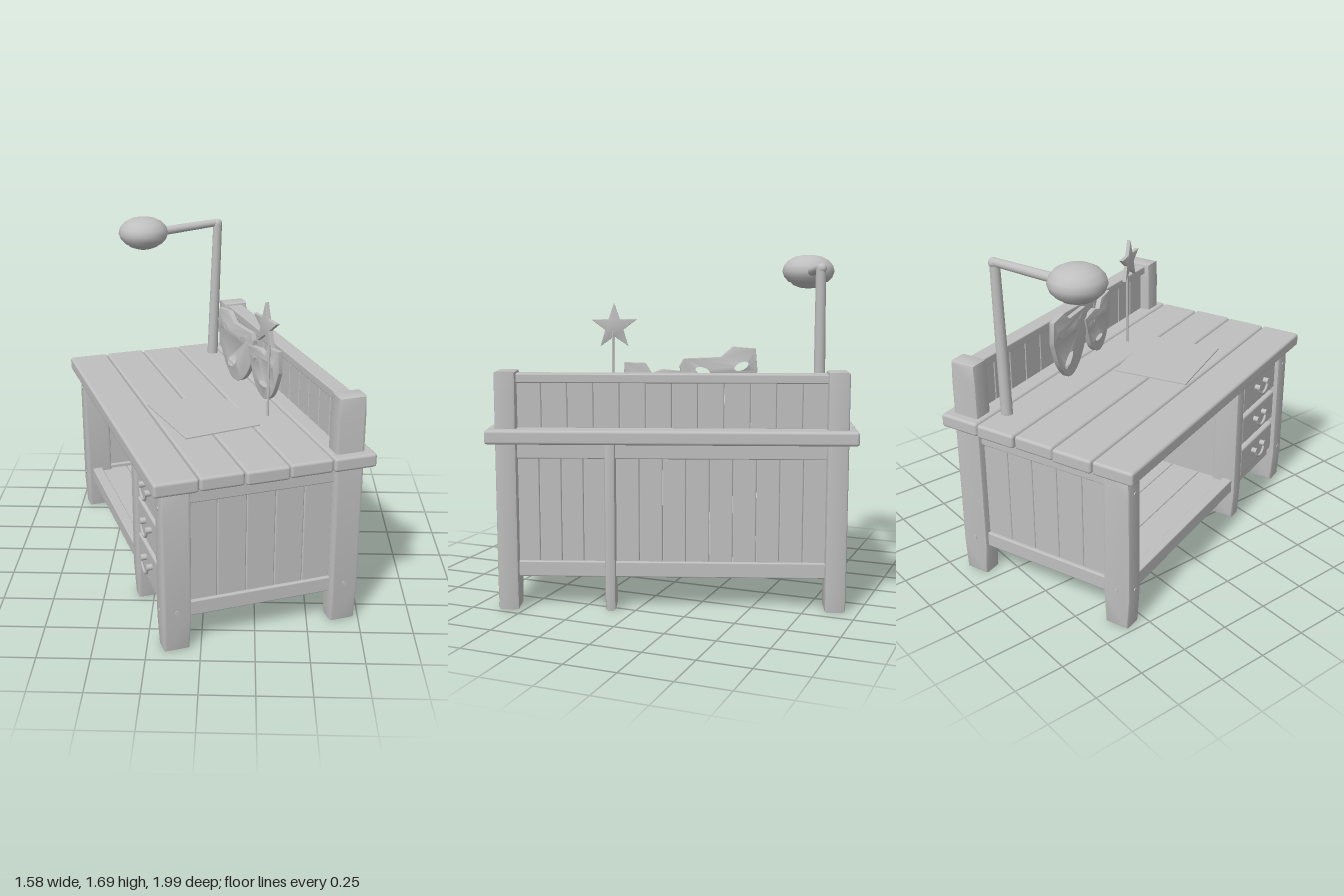
import * as THREE from 'three';
import { RoundedBoxGeometry } from 'three/addons/geometries/RoundedBoxGeometry.js';
import { toCreasedNormals } from 'three/addons/utils/BufferGeometryUtils.js';

const grey = new THREE.MeshStandardMaterial({ color: 0xbfbfbf });
grey.name = 'plain grey';

function add(parent, name, geometry, x = 0, y = 0, z = 0) {
  const mesh = new THREE.Mesh(geometry, grey);
  mesh.name = name;
  mesh.position.set(x, y, z);
  parent.add(mesh);
  return mesh;
}

// Softened board given by its limits on each axis
function board(parent, name, [x0, x1], [y0, y1], [z0, z1], r = 0.006) {
  return add(parent, name, new RoundedBoxGeometry(x1 - x0, y1 - y0, z1 - z0, 2, r),
    (x0 + x1) / 2, (y0 + y1) / 2, (z0 + z1) / 2);
}

// Extruded outline with a small bevel, centred on its thickness
function plate(shape, depth, bevel) {
  const g = new THREE.ExtrudeGeometry(shape, {
    depth: depth - 2 * bevel, bevelEnabled: bevel > 0, bevelSize: bevel,
    bevelThickness: bevel, bevelOffset: -bevel, bevelSegments: 2, curveSegments: 10,
  });
  g.translate(0, 0, -depth / 2 + bevel);
  return toCreasedNormals(g, 0.6);
}

const outline = (pts) => new THREE.Shape(pts.map(([x, y]) => new THREE.Vector2(x, y)));

// Straight round bar between two points
function rod(parent, name, a, b, r0, r1 = r0) {
  const from = new THREE.Vector3(...a), dir = new THREE.Vector3(...b).sub(from);
  const mesh = add(parent, name, new THREE.CylinderGeometry(r1, r0, dir.length(), 16));
  mesh.position.copy(from).addScaledVector(dir, 0.5);
  mesh.quaternion.setFromUnitVectors(new THREE.Vector3(0, 1, 0), dir.normalize());
  return mesh;
}

// Leg with a tapered foot and slightly narrowed head
function leg(parent, name, x, z, w, d, h) {
  const a = w / 2, t = a - 0.01;
  const s = outline([[-t, 0], [t, 0], [a, 0.16], [a, h - 0.1], [a - 0.004, h], [0.004 - a, h], [-a, h - 0.1], [-a, 0.16]]);
  add(parent, name, plate(s, d, 0.012), x, 0, z);
}

function buildDesk() {
  const desk = new THREE.Group();
  desk.name = 'desk';

  // Table top: five long planks with slightly uneven ends
  [0, -0.004, 0.004, -0.004, 0].forEach((shift, i) => {
    const x = -0.53 + i * 0.212;
    board(desk, 'topPlank', [x + 0.002, x + 0.21], [0.812, 0.88], [-0.873 + shift, 0.873 + shift], 0.014);
  });

  // Corner legs; the rear pair runs up past the top as posts
  for (const z of [-0.78, 0.78]) {
    leg(desk, 'frontLeg', -0.415, z, 0.14, 0.1, 0.815);
    leg(desk, 'rearPost', 0.415, z, 0.14, 0.1, 1.15);
  }
  leg(desk, 'middleFrontLeg', -0.405, 0.3, 0.135, 0.08, 0.815);
  leg(desk, 'middleRearLeg', 0.425, 0.29, 0.13, 0.05, 0.815);

  // Wooden pegs on the end and front faces of the corner legs
  for (const x of [-0.415, 0.415]) for (const s of [-1, 1]) {
    rod(desk, 'peg', [x, 0.2, s * 0.82], [x, 0.2, s * 0.834], 0.011);
    const side = Math.sign(x);
    for (const y of [0.2, 0.72]) {
      if (x < 0) rod(desk, 'peg', [side * 0.47, y, s * 0.78], [side * 0.489, y, s * 0.78], 0.009);
    }
  }

  // End walls: two rails and five upright boards
  for (const s of [-1, 1]) {
    const span = (a, b) => (s > 0 ? [a, b] : [-b, -a]);
    for (const y of [[0.16, 0.235], [0.735, 0.812]])
      board(desk, 'endRail', [-0.36, 0.36], y, span(0.75, 0.81));
    for (let i = 0; i < 5; i++)
      board(desk, 'endPlank', [-0.35 + i * 0.14, -0.211 + i * 0.14], [0.2, 0.78], span(0.768, 0.793));
  }

  // Rear wall
  for (const y of [[0.16, 0.235], [0.735, 0.812]])
    board(desk, 'rearRail', [0.4, 0.455], y, [-0.74, 0.74]);
  const bays = [[-0.735, 0.265, 9], [0.315, 0.735, 4]];
  for (const [z0, z1, n] of bays) {
    const w = (z1 - z0) / n;
    for (let i = 0; i < n; i++)
      board(desk, 'rearPlank', [0.41, 0.438], [0.2, 0.78], [z0 + i * w, z0 + (i + 1) * w - 0.001]);
  }

  // Front rails, the upper one with a shallow arch over the knee space
  board(desk, 'frontBottomRail', [-0.455, -0.4], [0.16, 0.235], [-0.74, 0.265]);
  const arch = outline([[-0.265, 0.812], [-0.265, 0.73]]);
  arch.quadraticCurveTo(0.235, 0.775, 0.735, 0.73);
  arch.lineTo(0.735, 0.812);
  add(desk, 'archedRail', plate(arch, 0.045, 0.005), -0.43).rotation.y = Math.PI / 2;

  // Floors and the wall between knee space and drawers
  for (let i = 0; i < 5; i++)
    board(desk, 'floorPlank', [-0.41 + i * 0.164, -0.248 + i * 0.164], [0.18, 0.215], [-0.76, 0.28]);
  board(desk, 'drawerFloor', [-0.41, 0.41], [0.18, 0.21], [0.3, 0.77]);
  board(desk, 'dividerWall', [-0.36, 0.41], [0.16, 0.812], [0.285, 0.315]);

  // Drawer stack
  board(desk, 'drawerCase', [-0.425, -0.39], [0.17, 0.81], [0.33, 0.74]);
  for (const y of [[0.155, 0.2], [0.775, 0.812]])
    board(desk, 'drawerRail', [-0.445, -0.4], y, [0.33, 0.74]);
  for (const y of [0.295, 0.49, 0.68]) {
    board(desk, 'drawerFront', [-0.465, -0.41], [y - 0.083, y + 0.083], [0.345, 0.73], 0.012);
    for (const z of [0.485, 0.585])
      rod(desk, 'handleKnob', [-0.46, y + 0.02, z], [-0.493, y + 0.02, z], 0.015);
    const bail = add(desk, 'handleBail', new THREE.TorusGeometry(0.05, 0.007, 8, 16, Math.PI), -0.487, y + 0.02, 0.535);
    bail.rotation.set(0, Math.PI / 2, Math.PI);
  }

  // Low back board between the posts
  for (let i = 0; i < 12; i++) {
    const z = -0.74 + i * 0.1233;
    board(desk, 'backPlank', [0.4, 0.43], [0.875, 1.11], [z, z + 0.1225]);
  }
  board(desk, 'backTopRail', [0.375, 0.455], [1.095, 1.138], [-0.745, 0.745]);
  return desk;
}

function buildLamp() {
  const lamp = new THREE.Group();
  lamp.name = 'lamp';
  rod(lamp, 'lampPole', [0.008, 0.87, -0.755], [0.035, 1.625, -0.758], 0.029, 0.024);
  rod(lamp, 'lampArm', [0.035, 1.63, -0.765], [-0.3, 1.605, -0.62], 0.02, 0.024);
  add(lamp, 'lampJoint', new THREE.SphereGeometry(0.025, 16, 10), 0.035, 1.625, -0.762);
  // Flattened shade with a small step above the bulb
  const profile = [[0, -0.087], [0.04, -0.083], [0.075, -0.07], [0.092, -0.054], [0.1, -0.053], [0.122, -0.03],
    [0.133, 0], [0.125, 0.03], [0.102, 0.057], [0.067, 0.075], [0.03, 0.082], [0, 0.083]];
  add(lamp, 'lampShade', new THREE.LatheGeometry(profile.map(([x, y]) => new THREE.Vector2(x, y)), 32), -0.36, 1.607, -0.592);
  return lamp;
}

function buildOrnaments() {
  const group = new THREE.Group();
  group.name = 'ornaments';
  const yaw = THREE.MathUtils.degToRad(-61);

  // Sheet of paper
  add(group, 'paper', new THREE.BoxGeometry(0.39, 0.006, 0.47), -0.015, 0.885, 0.215).rotation.y = Math.PI * 0.15;

  // Star on a stick
  const star = outline(Array.from({ length: 10 }, (_, i) => {
    const r = i % 2 ? 0.046 : 0.115, a = Math.PI / 2 + i * Math.PI / 5;
    return [r * Math.cos(a), r * Math.sin(a)];
  }));
  add(group, 'star', plate(star, 0.02, 0.003), 0.29, 1.343, 0.2).rotation.y = yaw;
  rod(group, 'starStick', [0.305, 0.87, 0.2], [0.305, 1.32, 0.2], 0.006);

  // Two cut-out masks, each with smooth jaw and three openings
  const mask = (name, x, z, top, jaw, holes) => {
    const s = outline(top);
    s.splineThru(jaw.map(([a, b]) => new THREE.Vector2(a, b)));
    for (const [hx, hy, rx, ry, tilt] of holes)
      s.holes.push(new THREE.Path().absellipse(hx, hy, rx, ry, 0, Math.PI * 2, true, tilt));
    add(group, name, plate(s, 0.026, 0.003), x, 0, z).rotation.y = yaw;
  };
  mask('largeMask', 0.15, -0.29,
    [[-0.19, 1.13], [-0.18, 1.24], [-0.07, 1.25], [-0.01, 1.2], [0.17, 1.195], [0.19, 1.16]],
    [[0.165, 1.02], [0.08, 0.915], [-0.03, 0.893], [-0.13, 0.99], [-0.19, 1.13]],
    [[-0.11, 1.155, 0.04, 0.022, -0.4], [0.08, 1.135, 0.04, 0.02, 0.3], [-0.03, 0.985, 0.055, 0.03, 0.6]]);
  mask('smallMask', 0.29, -0.02,
    [[-0.15, 1.13], [-0.03, 1.145], [0.02, 1.125], [0.05, 1.175], [0.15, 1.18], [0.158, 1.07]],
    [[0.1, 0.94], [0.02, 0.893], [-0.07, 0.94], [-0.12, 1.04], [-0.15, 1.13]],
    [[-0.06, 1.08, 0.032, 0.013, 0.3], [0.08, 1.09, 0.03, 0.013, -0.3], [0.01, 0.97, 0.045, 0.018, 0]]);
  return group;
}

export function createModel() {
  const model = new THREE.Group();
  model.name = 'workDesk';
  const desk = buildDesk();
  desk.rotation.y = THREE.MathUtils.degToRad(20);
  model.add(desk, buildLamp(), buildOrnaments());
  return model;
}
